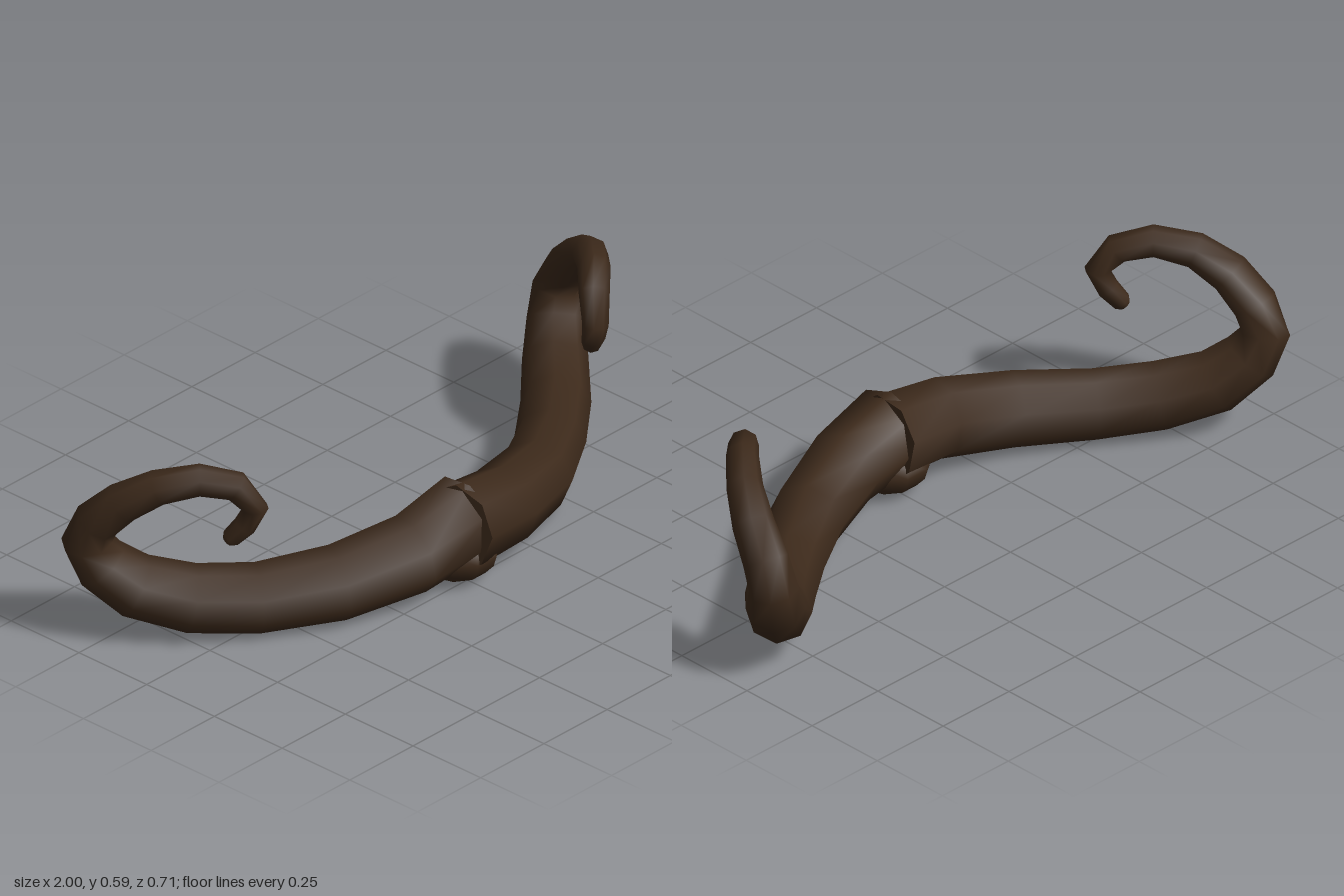
import * as THREE from 'three';

const SIDES = 8;

// Centre line of one half, root to curled tip: x, y, z, radius
const PATH = [
  [-0.03, 0.172, 0.235, 0.123], [0.18, 0.145, 0.21, 0.113], [0.39, 0.115, 0.135, 0.106],
  [0.58, 0.1, 0.015, 0.098], [0.72, 0.115, -0.095, 0.096], [0.83, 0.16, -0.2, 0.09],
  [0.9, 0.235, -0.262, 0.08], [0.932, 0.31, -0.285, 0.07], [0.928, 0.385, -0.25, 0.064],
  [0.905, 0.46, -0.178, 0.058], [0.855, 0.518, -0.095, 0.05], [0.78, 0.543, -0.01, 0.045],
  [0.708, 0.52, 0.058, 0.042], [0.672, 0.452, 0.096, 0.036], [0.69, 0.395, 0.072, 0.032],
  [0.713, 0.355, 0.043, 0.027], [0.719, 0.345, 0.036, 0.017],
];

// Tapered sweep along the path; mirrored for the other side
function taperedHalf(mirror, twist, rootShift) {
  const points = PATH.map(([x, y, z], i) => new THREE.Vector3(x, y, z + (i === 0 ? rootShift : 0)));
  const curve = new THREE.CatmullRomCurve3(points);
  const facing = new THREE.Vector3(0.6, 0, 0.8);
  const pos = [], index = [];
  const tri = (a, b, c) => (mirror ? index.push(a, c, b) : index.push(a, b, c));
  const last = points.length - 1;

  const addRing = (i) => {
    const t = curve.getTangent(i / last);
    const side = facing.clone().addScaledVector(t, -facing.dot(t)).normalize();
    const up = side.clone().cross(t);
    for (let j = 0; j < SIDES; j++) {
      const a = (j / SIDES) * Math.PI * 2 + twist;
      const v = points[i].clone()
        .addScaledVector(side, Math.cos(a) * PATH[i][3])
        .addScaledVector(up, Math.sin(a) * PATH[i][3]);
      pos.push(v.x, v.y, v.z);
    }
  };

  points.forEach((p, i) => addRing(i));
  for (let i = 0; i < last; i++) {
    for (let j = 0; j < SIDES; j++) {
      const k = (j + 1) % SIDES;
      const a = i * SIDES + j, b = i * SIDES + k;
      tri(a, a + SIDES, b);
      tri(b, a + SIDES, b + SIDES);
    }
  }
  // Flat caps with their own vertices
  for (const i of [0, last]) {
    const base = pos.length / 3;
    addRing(i);
    pos.push(...points[i].toArray());
    for (let j = 0; j < SIDES; j++) {
      const a = base + j, b = base + ((j + 1) % SIDES);
      if (i === 0) tri(base + SIDES, a, b);
      else tri(base + SIDES, b, a);
    }
  }

  const geo = new THREE.BufferGeometry();
  geo.setAttribute('position', new THREE.Float32BufferAttribute(pos, 3));
  geo.setIndex(index);
  if (mirror) {
    const p = geo.attributes.position;
    for (let i = 0; i < p.count; i++) p.setX(i, -p.getX(i));
  }
  geo.computeVertexNormals();
  return geo;
}

export function createModel() {
  const group = new THREE.Group();
  group.name = 'moustache';
  const hair = new THREE.MeshStandardMaterial({ color: 0x3d2a1b });
  const add = (name, geo) => {
    const mesh = new THREE.Mesh(geo, hair);
    mesh.name = name;
    group.add(mesh);
    return mesh;
  };

  // Two curled halves, overlapping in the middle
  add('leftCurl', taperedHalf(false, 0, 0));
  add('rightCurl', taperedHalf(true, Math.PI / 8, -0.025));

  // Small rounded tuft under the join
  const tuft = add('centreTuft', new THREE.SphereGeometry(1, 10, 8));
  tuft.scale.set(0.12, 0.085, 0.115);
  tuft.position.set(0, 0.09, 0.215);

  return group;
}
